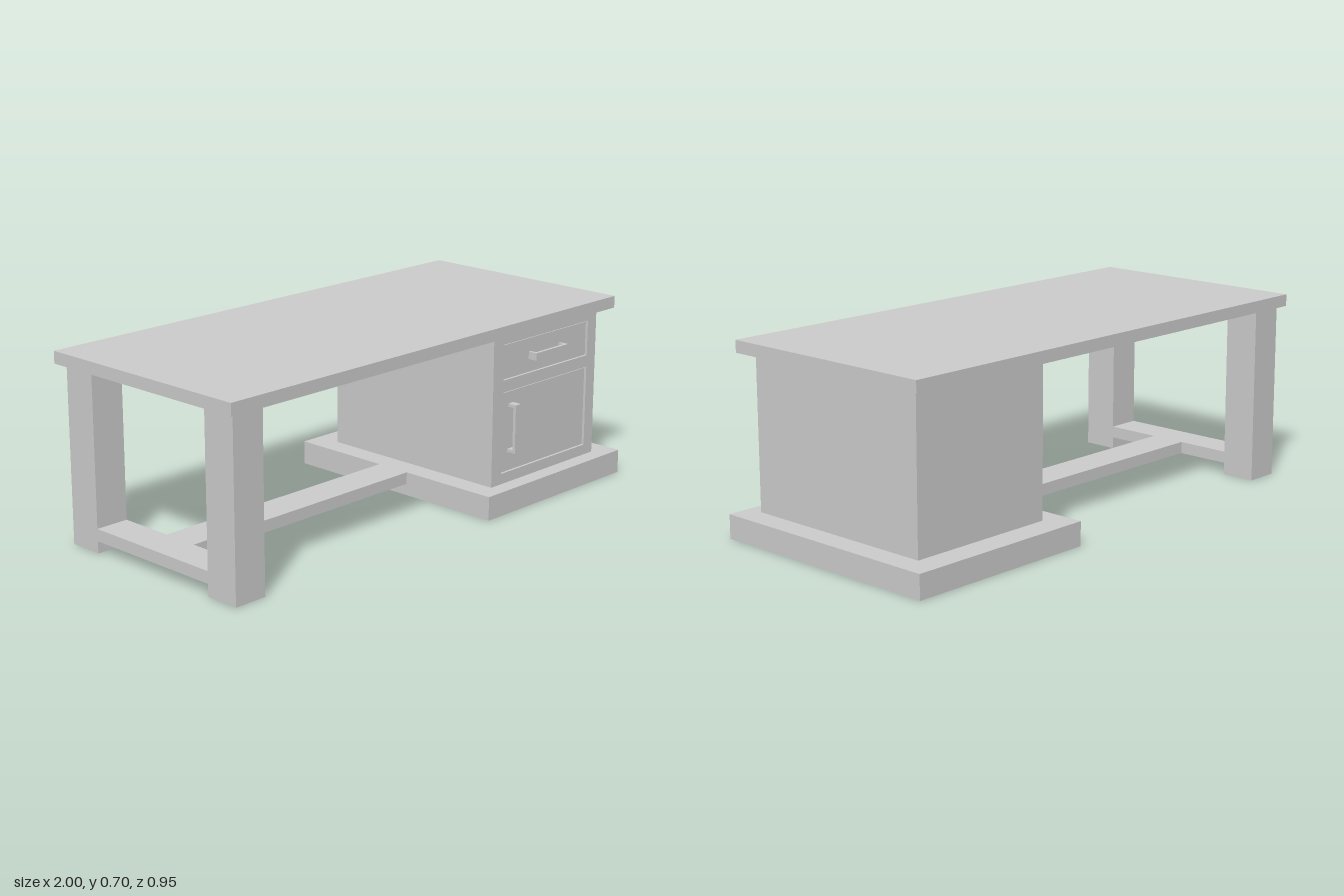
import * as THREE from 'three';

const material = new THREE.MeshStandardMaterial({ color: 0xcccccc });

// Box given by its limits on each axis
function box(name, [x0, x1], [y0, y1], [z0, z1]) {
  const mesh = new THREE.Mesh(new THREE.BoxGeometry(x1 - x0, y1 - y0, z1 - z0), material);
  mesh.position.set((x0 + x1) / 2, (y0 + y1) / 2, (z0 + z1) / 2);
  mesh.name = name;
  return mesh;
}

// Rectangle outline, usable as a shape or a hole
function rectangle(Type, [x0, x1], [y0, y1]) {
  return new Type([[x0, y0], [x1, y0], [x1, y1], [x0, y1]].map(p => new THREE.Vector2(...p)));
}

// Staple-shaped pull: a bar on two feet, built along x and turned upright if asked
function handle(name, length, x, y, z, upright) {
  const group = new THREE.Group();
  const h = length / 2, t = 0.012, w = 0.014;
  group.add(box('handleBar', [-h, h], [-w, w], [0.028, 0.04]));
  for (const s of [-h, h - t]) group.add(box('handleFoot', [s, s + t], [-w, w], [0, 0.028]));
  group.position.set(x, y, z);
  if (upright) group.rotation.z = Math.PI / 2;
  group.name = name;
  return group;
}

export function createModel() {
  const desk = new THREE.Group();
  desk.name = 'desk';

  // Top and plinth
  desk.add(box('desktop', [-1, 0.96], [0.66, 0.705], [-0.43, 0.455]));
  desk.add(box('plinth', [0.23, 1], [0, 0.09], [-0.475, 0.472]));

  // Legs and low stretchers
  for (const z of [-0.415, 0.285]) desk.add(box('leg', [-0.96, -0.83], [0, 0.66], [z, z + 0.133]));
  desk.add(box('crossStretcher', [-0.96, -0.83], [0.045, 0.09], [-0.285, 0.285]));
  desk.add(box('longStretcher', [-0.83, 0.23], [0.045, 0.09], [-0.07, 0.07]));

  // Cabinet body with a front frame around the drawer and door openings
  const cabinet = new THREE.Group();
  cabinet.name = 'cabinet';
  const cx = [0.315, 0.91], cy = [0.09, 0.66], front = 0.41, recess = 0.01;
  cabinet.add(box('cabinetBody', cx, cy, [-0.375, front - recess]));
  const fronts = [
    { name: 'drawerFront', x: [0.37, 0.86], y: [0.485, 0.62] },
    { name: 'cabinetDoor', x: [0.37, 0.86], y: [0.13, 0.44] },
  ];
  const frameShape = rectangle(THREE.Shape, cx, cy);
  for (const f of fronts) {
    frameShape.holes.push(rectangle(THREE.Path, f.x, f.y));
    // Panel set inside its opening with a narrow gap
    const inset = ([a, b]) => [a + 0.005, b - 0.005];
    cabinet.add(box(f.name, inset(f.x), inset(f.y), [front - recess, front - 0.006]));
  }
  const frame = new THREE.Mesh(
    new THREE.ExtrudeGeometry(frameShape, { depth: recess, bevelEnabled: false }), material);
  frame.position.z = front - recess;
  frame.name = 'cabinetFrontFrame';
  cabinet.add(frame);

  // Pulls
  cabinet.add(handle('drawerHandle', 0.185, 0.612, 0.55, 0.4, false));
  cabinet.add(handle('doorHandle', 0.185, 0.423, 0.297, 0.4, true));
  desk.add(cabinet);

  return desk;
}
